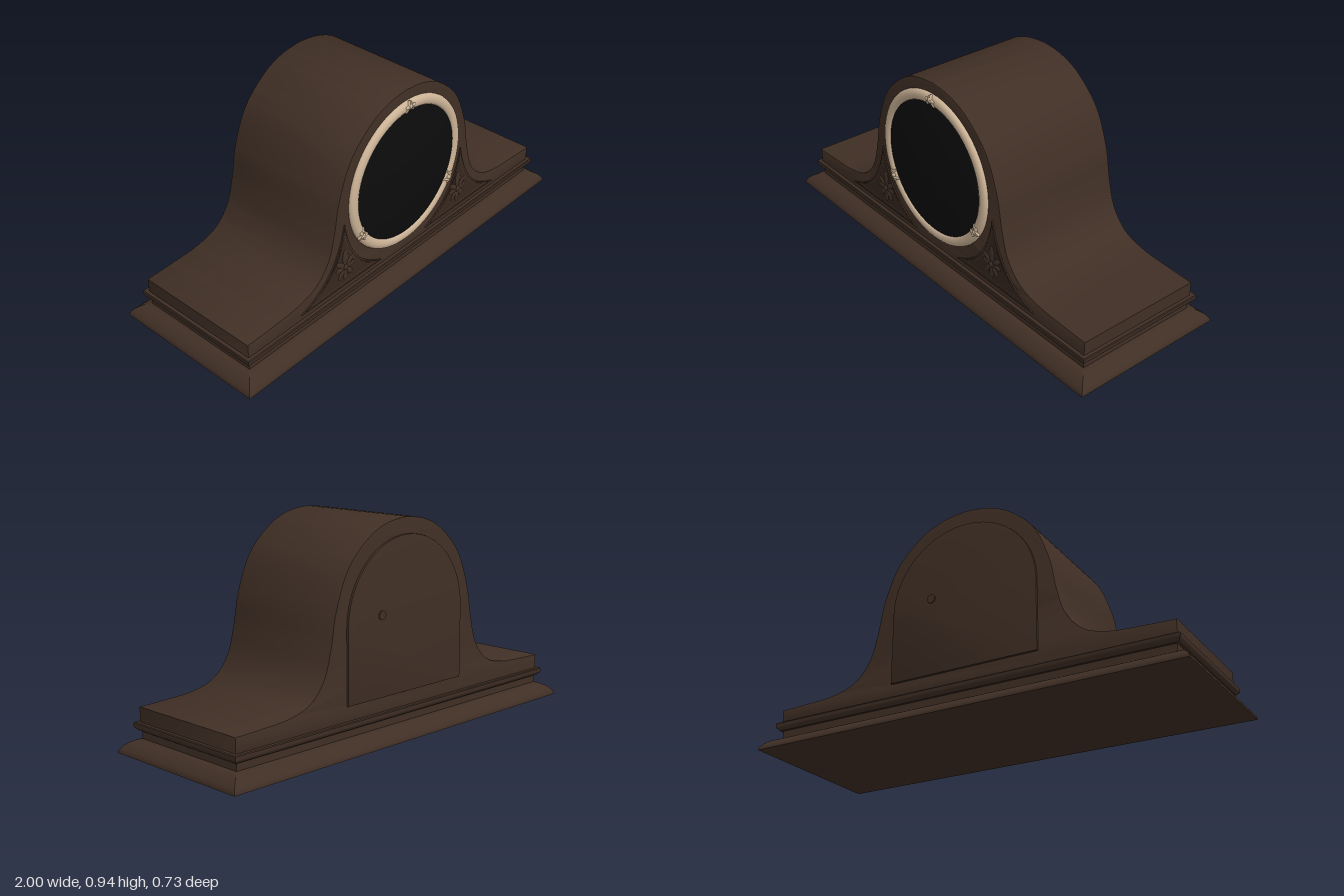
import * as THREE from 'three';
import { toCreasedNormals } from 'three/addons/utils/BufferGeometryUtils.js';

const material = (name, color) => {
  const m = new THREE.MeshStandardMaterial({ color });
  m.name = name;
  return m;
};

const V2 = (x, y) => new THREE.Vector2(x, y);
const DIAL_Y = 0.535;

// Rectangular moulding with mitred corners; profile rows are [offset, y]
function mouldingGeometry(profile, hx, hz) {
  const pos = [];
  const ring = ([o, y]) => [
    [-hx - o, y, hz + o], [hx + o, y, hz + o], [hx + o, y, -hz - o], [-hx - o, y, -hz - o],
  ];
  const quad = (a, b, c, d) => pos.push(...a, ...b, ...c, ...a, ...c, ...d);
  for (let i = 0; i < profile.length - 1; i++) {
    const lo = ring(profile[i]), hi = ring(profile[i + 1]);
    for (let k = 0; k < 4; k++) {
      const n = (k + 1) % 4;
      quad(lo[k], lo[n], hi[n], hi[k]);
    }
  }
  const bottom = ring(profile[0]), top = ring(profile[profile.length - 1]);
  quad(bottom[3], bottom[2], bottom[1], bottom[0]);
  quad(top[0], top[1], top[2], top[3]);
  const g = new THREE.BufferGeometry();
  g.setAttribute('position', new THREE.Float32BufferAttribute(pos, 3));
  return toCreasedNormals(g, 0.5);
}

// Extruded outline spanning z0..z1, silhouette kept by the inward bevel
function slab(shape, z0, z1, bevel) {
  const g = new THREE.ExtrudeGeometry(shape, {
    depth: z1 - z0 - 2 * bevel, bevelEnabled: bevel > 0, bevelThickness: bevel,
    bevelSize: bevel, bevelOffset: -bevel, bevelSegments: 2, curveSegments: 32,
  });
  g.translate(0, 0, z0 + bevel);
  return toCreasedNormals(g, 0.5);
}

// Outline of the humped case
function caseShape() {
  const half = new THREE.SplineCurve([
    [0.935, 0.195], [0.8, 0.2], [0.66, 0.21], [0.55, 0.246], [0.475, 0.33], [0.437, 0.45],
    [0.406, 0.6], [0.337, 0.76], [0.22, 0.872], [0.11, 0.922], [0, 0.937],
  ].map(([x, y]) => V2(x, y))).getPoints(60);
  const mirrored = half.slice(0, -1).reverse().map((p) => V2(-p.x, p.y));
  return new THREE.Shape([V2(-0.935, 0.122), V2(0.935, 0.122), ...half, ...mirrored]);
}

// Curved triangle beside the dial, shrunk about its middle by s
function spandrelPoints(s, side) {
  const pts = [];
  const outer = new THREE.QuadraticBezierCurve(V2(0.38, 0.47), V2(0.43, 0.22), V2(0.64, 0.157));
  const inner = new THREE.QuadraticBezierCurve(V2(0.15, 0.157), V2(0.345, 0.235), V2(0.38, 0.47));
  pts.push(...inner.getPoints(14), ...outer.getPoints(14).slice(1));
  const c = V2(0.385, 0.235);
  const out = pts.map((p) => V2(side * (c.x + (p.x - c.x) * s), c.y + (p.y - c.y) * s));
  return side < 0 ? out.reverse() : out;
}

export function createModel() {
  const wood = material('dark wood', 0x402f25);
  const recess = material('carving ground', 0x35271e);
  const brass = material('pale brass', 0xcdb497);
  const glass = material('black dial', 0x0c0c0c);

  const model = new THREE.Group();
  model.name = 'mantelClock';
  const add = (name, geometry, mat, parent = model) => {
    const mesh = new THREE.Mesh(geometry, mat);
    mesh.name = name;
    parent.add(mesh);
    return mesh;
  };

  // Plinth: flared foot, waist and projecting bead
  add('plinth', mouldingGeometry([
    [0.07, 0], [0.07, 0.006], [0.064, 0.018], [0.053, 0.032], [0.036, 0.046], [0.016, 0.056],
    [-0.002, 0.061], [-0.002, 0.096], [0.008, 0.096], [0.02, 0.108], [0.022, 0.113],
    [0.022, 0.127], [0.019, 0.131], [0.0, 0.131],
  ], 0.93, 0.297), wood);

  // Case
  add('case', slab(caseShape(), -0.3, 0.302, 0.006), wood);

  // Back door with its small knob
  const door = new THREE.Shape();
  door.moveTo(-0.35, 0.195);
  door.lineTo(0.35, 0.195);
  door.lineTo(0.35, 0.515);
  door.absarc(0, 0.515, 0.35, 0, Math.PI, false);
  door.closePath();
  add('backDoor', slab(door, -0.31, -0.297, 0.003), wood);
  const knob = add('doorKnob', new THREE.CylinderGeometry(0.02, 0.02, 0.012, 24), wood);
  knob.rotation.x = Math.PI / 2;
  knob.position.set(0.155, 0.545, -0.309);

  // Dial: turned bezel and domed face
  const dial = new THREE.Group();
  dial.name = 'dial';
  dial.position.y = DIAL_Y;
  model.add(dial);
  const bezel = add('bezel', new THREE.LatheGeometry([
    [0.352, 0.297], [0.353, 0.306], [0.349, 0.314], [0.34, 0.32], [0.328, 0.322],
    [0.316, 0.32], [0.308, 0.315], [0.305, 0.308], [0.305, 0.298],
  ].map(([r, h]) => V2(r, h)), 80), brass, dial);
  bezel.rotation.x = Math.PI / 2;
  const dome = [];
  for (let i = 0; i <= 10; i++) {
    const r = 0.306 * (1 - i / 10);
    dome.push(V2(r, 0.313 + 0.027 * (1 - (r / 0.306) ** 2)));
  }
  const face = add('dialFace', new THREE.LatheGeometry(dome, 80), glass, dial);
  face.rotation.x = Math.PI / 2;

  // Three crossed-ribbon clasps round the bezel
  const ball = new THREE.SphereGeometry(1, 16, 12);
  for (let i = 0; i < 3; i++) {
    const clasp = new THREE.Group();
    clasp.name = 'bezelClasp';
    clasp.rotation.z = (i * Math.PI * 2) / 3;
    dial.add(clasp);
    for (const s of [-1, 1]) {
      const band = add('ribbon', ball, brass, clasp);
      band.scale.set(0.007, 0.029, 0.012);
      band.position.set(s * 0.012, 0.329, 0.315);
      band.rotation.z = s * 0.4;
      const loop = add('ribbonLoop', ball, brass, clasp);
      loop.scale.set(0.015, 0.009, 0.008);
      loop.position.set(s * 0.016, 0.33, 0.319);
    }
    const knot = add('ribbonKnot', ball, brass, clasp);
    knot.scale.set(0.011, 0.014, 0.01);
    knot.position.set(0, 0.33, 0.319);
  }

  // Carved spandrels: frame, inner ridge, ground and leaf spray
  const petals = [
    [90, 0.085, 0.016], [38, 0.065, 0.013], [142, 0.065, 0.013], [0, 0.055, 0.013],
    [180, 0.055, 0.013], [-50, 0.06, 0.013], [230, 0.06, 0.013], [270, 0.065, 0.014],
  ];
  for (const side of [-1, 1]) {
    const spandrel = new THREE.Group();
    spandrel.name = side > 0 ? 'leftSpandrel' : 'rightSpandrel';
    model.add(spandrel);
    for (const [name, outer, inner, z] of [['frame', 1, 0.9, 0.308], ['innerRidge', 0.83, 0.77, 0.306]]) {
      const shape = new THREE.Shape(spandrelPoints(outer, side));
      shape.holes.push(new THREE.Path(spandrelPoints(inner, side)));
      add(name, slab(shape, 0.299, z, 0), wood, spandrel);
    }
    add('ground', slab(new THREE.Shape(spandrelPoints(0.95, side)), 0.299, 0.3035, 0), recess, spandrel);
    for (const [deg, length, width] of petals) {
      const a = THREE.MathUtils.degToRad(deg);
      const leaf = add('leaf', ball, wood, spandrel);
      leaf.scale.set(length / 2, width, 0.006);
      leaf.rotation.z = a;
      leaf.position.set(side * 0.375 + Math.cos(a) * length * 0.55, 0.25 + Math.sin(a) * length * 0.55, 0.303);
    }
    const bud = add('bud', ball, wood, spandrel);
    bud.scale.set(0.015, 0.015, 0.009);
    bud.position.set(side * 0.375, 0.25, 0.304);
  }
  return model;
}
